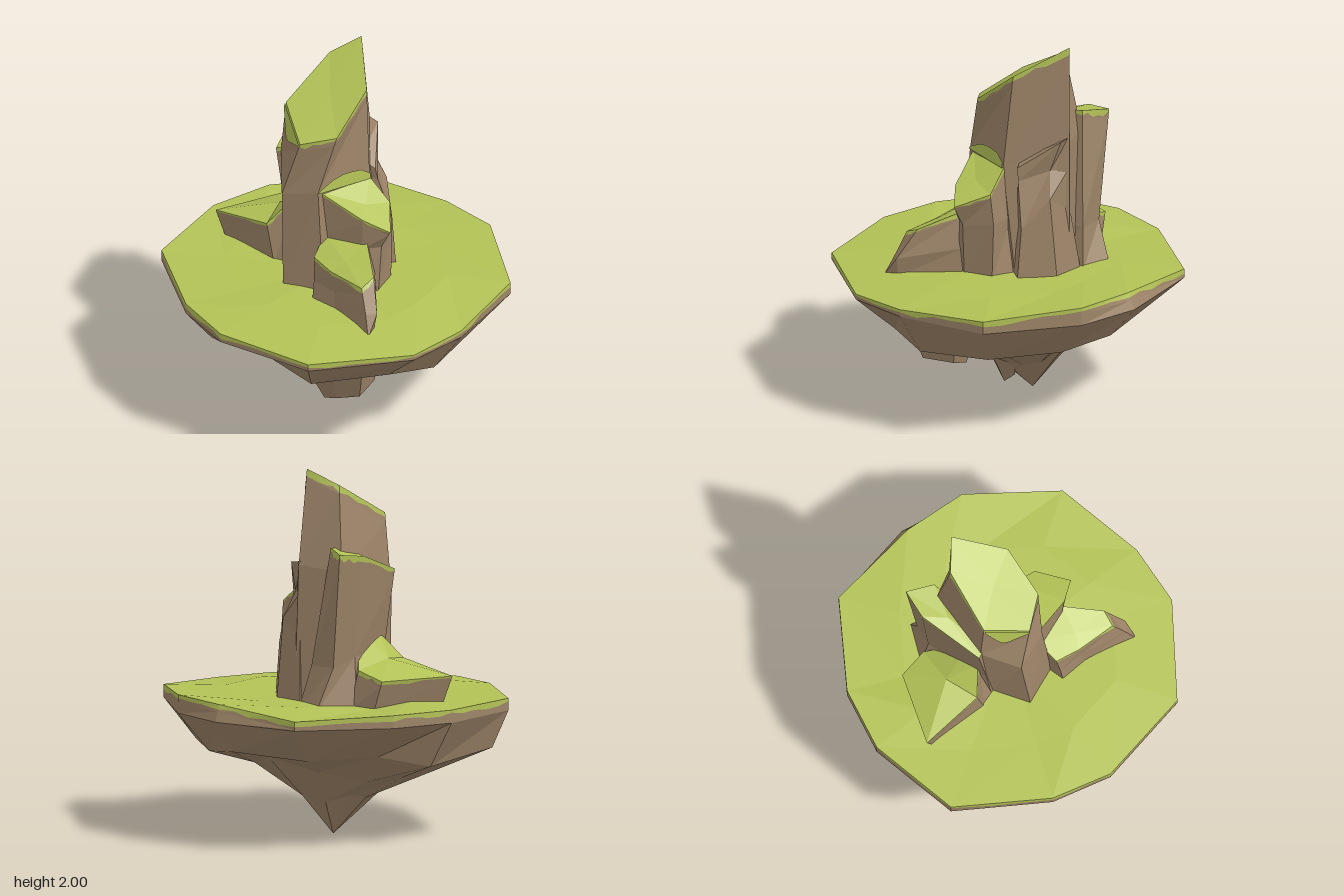
import * as THREE from 'three';

const grass = new THREE.MeshStandardMaterial({ color: 0xb3c256, flatShading: true });
grass.name = 'grass green';
const rock = new THREE.MeshStandardMaterial({ color: 0x9d8468, flatShading: true });
rock.name = 'rock brown';

// Small seeded noise for ragged turf edges and gentle relief
let seed = 7;
const rand = () => (seed = (seed * 16807) % 2147483647) / 2147483647;

const V = (p) => new THREE.Vector3(...p);
const mix = (a, b, t) => a.clone().lerp(b, t);

function area(ring) {
  return ring.reduce((s, a, i) => {
    const b = ring[(i + 1) % ring.length];
    return s + a.z * b.x - a.x * b.z;
  }, 0);
}

function centre(ring) {
  return ring.reduce((s, p) => s.add(p), new THREE.Vector3()).divideScalar(ring.length);
}

// Side wall between an upper and a lower ring
function wall(out, up, low) {
  up.forEach((a, i) => {
    const j = (i + 1) % up.length;
    out.push(a, low[i], up[j], up[j], low[i], low[j]);
  });
}

// Fan closing a ring towards a point, facing up or down
function fan(out, ring, tip, down = false) {
  ring.forEach((a, i) => {
    const b = ring[(i + 1) % ring.length];
    if (down) out.push(a, tip, b);
    else out.push(a, b, tip);
  });
}

// Points along every edge of a ring
function subdivide(ring, n) {
  return ring.flatMap((a, i) => {
    const b = ring[(i + 1) % ring.length];
    return Array.from({ length: n }, (_, k) => mix(a, b, k / n));
  });
}

function mesh(name, points, material) {
  const g = new THREE.BufferGeometry().setFromPoints(points);
  g.computeVertexNormals();
  const m = new THREE.Mesh(g, material);
  m.name = name;
  return m;
}

// A boulder lofted through rings from top to bottom, with optional turf draped over its top
function boulder(name, ringData, { turf = 0, tip = null, relief = null } = {}) {
  const rings = ringData.map((r) => r.map(V));
  if (area(rings[0]) < 0) rings.forEach((r) => r.reverse());
  const stone = [], green = [];
  const top = turf ? green : stone;

  // Top surface
  if (relief) {
    const mid = centre(rings[0]).setY(relief);
    const inner = rings[0].map((p) => mix(p, mid, 0.36).setY(relief + (rand() - 0.5) * 0.03));
    wall(top, inner, rings[0]);
    fan(top, inner, mid);
  } else fan(top, rings[0], centre(rings[0]));

  // Ragged turf edge hanging over a narrow band below the top
  if (turf) {
    const band = rings[0].map((p, i) => {
      const q = rings[1][i];
      return mix(p, q, Math.min(1.6 * turf / p.distanceTo(q), 0.95));
    });
    const a = subdivide(rings[0], 5), b = subdivide(band, 5);
    const edge = a.map((p, i) => mix(p, b[i], 0.3 + 0.6 * rand()));
    wall(green, a, edge);
    wall(stone, edge, b);
    rings[0] = band;
  }
  for (let i = 0; i < rings.length - 1; i++) wall(stone, rings[i], rings[i + 1]);
  if (tip) fan(stone, rings[rings.length - 1], V(tip), true);

  const group = new THREE.Group();
  group.name = name;
  group.add(mesh(name + 'Rock', stone, rock));
  if (turf) group.add(mesh(name + 'Grass', green, grass));
  return group;
}

// Thin moss patch growing from edge a-b towards an apex, lifted slightly off the rock
function mossPatch(name, a, b, apex, reach, lift) {
  const [A, B, C] = [a, b, apex].map((p) => V(p).add(V(lift)));
  const base = reach.map((_, i) => mix(A, B, i / (reach.length - 1)));
  const end = base.map((p, i) => mix(p, C, reach[i]));
  const out = [];
  for (let i = 0; i < reach.length - 1; i++) {
    out.push(base[i], base[i + 1], end[i], end[i], base[i + 1], end[i + 1]);
  }
  return mesh(name, out, grass);
}

export function createModel() {
  const model = new THREE.Group();
  model.name = 'floatingIsland';

  // Island: rim, band under the turf, belly, underside, root
  const rim = [
    [-0.31, 0.73, -0.9], [0.21, 0.77, -0.83], [0.54, 0.78, -0.72], [0.89, 0.75, -0.31],
    [0.87, 0.72, 0.2], [0.76, 0.71, 0.52], [0.32, 0.72, 0.89], [-0.23, 0.73, 0.86],
    [-0.53, 0.74, 0.7], [-0.9, 0.745, 0.3], [-0.87, 0.75, -0.22], [-0.71, 0.75, -0.54],
  ];
  const band = rim.map(([x, , z], i) => [x, 0.68, i === 1 ? -0.87 : z]);
  const belly = [
    [-0.25, 0.48, -0.68], [0.2, 0.5, -0.72], [0.45, 0.46, -0.55], [0.72, 0.46, -0.25],
    [0.69, 0.42, 0.17], [0.54, 0.455, 0.4], [0.25, 0.49, 0.73], [-0.18, 0.56, 0.64],
    [-0.46, 0.47, 0.55], [-0.83, 0.48, 0.25], [-0.73, 0.43, -0.21], [-0.52, 0.49, -0.4],
  ];
  const under = [
    [-0.15, 0.38, -0.42], [0.12, 0.45, -0.49], [0.25, 0.4, -0.42], [0.38, 0.35, -0.18],
    [0.36, 0.34, 0.1], [0.38, 0.44, 0.3], [0.2, 0.45, 0.48], [-0.18, 0.45, 0.44],
    [-0.3, 0.36, 0.34], [-0.5, 0.33, 0.14], [-0.47, 0.33, -0.1], [-0.35, 0.32, -0.25],
  ];
  const root = [-0.06, 0, -0.12];
  const low = under.map((p, i) => {
    const inset = i > 1 && i < 6;
    const q = mix(V(p), V(root), inset ? 0.66 : 0.52);
    return [q.x, q.y + (inset ? 0.06 : i < 2 ? 0.01 : 0.05 + 0.02 * (i % 2)), q.z];
  });
  model.add(boulder('island', [rim, band, belly, under, low], { turf: 0.026, tip: root, relief: 0.75 }));

  // Rocks hanging below the island
  model.add(boulder('hangingRock', [
    [[0.0, 0.46, 0.14], [0.36, 0.46, 0.12], [0.38, 0.46, 0.4], [0.22, 0.46, 0.48], [0.02, 0.46, 0.46]],
    [[0.11, 0.14, 0.19], [0.32, 0.22, 0.16], [0.33, 0.22, 0.34], [0.2, 0.18, 0.36], [0.11, 0.14, 0.33]],
  ], { tip: [0.2, 0.17, 0.26] }));
  model.add(boulder('hangingSpike', [
    [[-0.14, 0.27, 0.0], [0.1, 0.27, -0.08], [0.13, 0.27, 0.06], [0.02, 0.27, 0.13], [-0.1, 0.27, 0.12]],
    [[-0.04, 0.09, -0.01], [0.03, 0.09, -0.06], [0.05, 0.12, 0.03], [0.01, 0.09, 0.05], [-0.03, 0.1, 0.04]],
  ], { tip: [0.01, 0.03, 0.015] }));

  // Tall tower with a slanted grassy top
  model.add(boulder('tower', [
    [[-0.04, 2, -0.35], [0.13, 1.85, -0.1], [0.08, 1.66, 0.14], [-0.1, 1.61, 0.22], [-0.28, 1.73, 0.05], [-0.18, 1.91, -0.25]],
    [[0.0, 1.48, -0.37], [0.17, 1.33, -0.06], [0.01, 1.335, 0.22], [-0.2, 1.28, 0.24], [-0.31, 1.42, 0.05], [-0.24, 1.45, -0.32]],
    [[0.02, 0.72, -0.38], [0.2, 0.72, -0.15], [0.06, 0.72, 0.25], [-0.17, 0.72, 0.28], [-0.24, 0.72, 0.06], [-0.25, 0.72, -0.33]],
  ], { turf: 0.03 }));
  model.add(mossPatch('towerFrontMoss', [-0.1, 1.61, 0.22], [-0.28, 1.73, 0.05], [-0.26, 1.36, 0.15],
    [0.05, 0.2, 0.32, 0.36, 0.27, 0.08], [-0.004, 0, 0.008]));
  model.add(mossPatch('towerSideMoss', [0.01, 1.335, 0.22], [0.17, 1.33, -0.06], [0.13, 1.85, -0.1],
    [0.03, 0.11, 0.14, 0.14, 0.13, 0.06], [0.007, 0, 0.004]));

  // Slab leaning on the back and left side of the tower
  model.add(boulder('backSlab', [
    [[-0.365, 1.55, -0.3], [-0.31, 1.57, -0.45], [-0.19, 1.585, -0.35], [-0.2, 1.56, -0.15], [-0.27, 1.45, 0.05], [-0.335, 1.43, 0.06]],
    [[-0.31, 1.0, -0.3], [-0.25, 0.95, -0.42], [-0.1, 0.95, -0.4], [-0.1, 1, -0.15], [-0.2, 1, 0.05], [-0.27, 1, 0.06]],
    [[-0.34, 0.72, -0.33], [-0.2, 0.72, -0.51], [-0.04, 0.72, -0.43], [-0.1, 0.72, -0.1], [-0.18, 0.72, 0.06], [-0.25, 0.72, 0.08]],
  ], { turf: 0.03 }));

  // Bare buttress at the back corner, notched below its top
  model.add(boulder('backButtress', [
    [[-0.01, 1.5, -0.365], [0.06, 1.49, -0.35], [0.16, 1.34, -0.14], [0.05, 1.4, -0.12]],
    [[0.0, 1.32, -0.365], [0.07, 1.32, -0.29], [0.17, 1.27, -0.15], [0.05, 1.3, -0.12]],
    [[-0.01, 1.08, -0.37], [0.13, 1.18, -0.32], [0.23, 1.02, -0.2], [0.1, 1.0, -0.1]],
    [[-0.04, 0.72, -0.42], [0.14, 0.72, -0.37], [0.26, 0.72, -0.19], [0.1, 0.72, -0.05]],
  ]));

  // Stepped ledges around the tower
  model.add(boulder('upperLedge', [
    [[0.0, 1.335, 0.2], [0.165, 1.335, -0.065], [0.3, 1.22, -0.05], [0.395, 1.15, 0.12], [0.26, 1.22, 0.18]],
    [[0.0, 1.05, 0.2], [0.16, 1.05, -0.1], [0.3, 1.05, -0.07], [0.33, 1.03, 0.1], [0.25, 1.03, 0.17]],
    [[0.02, 0.72, 0.22], [0.18, 0.72, -0.15], [0.3, 0.72, -0.06], [0.31, 0.72, 0.1], [0.25, 0.72, 0.2]],
  ], { turf: 0.014 }));
  model.add(boulder('frontLedge', [
    [[0.03, 1.065, 0.18], [0.27, 1.07, 0.15], [0.41, 0.99, 0.33], [0.38, 0.955, 0.41], [0.16, 0.96, 0.35], [0.03, 0.985, 0.3]],
    [[0.04, 0.88, 0.18], [0.3, 0.88, 0.12], [0.48, 0.83, 0.42], [0.43, 0.83, 0.455], [0.18, 0.84, 0.35], [0.04, 0.85, 0.32]],
    [[0.04, 0.72, 0.18], [0.3, 0.72, 0.1], [0.46, 0.72, 0.42], [0.47, 0.72, 0.5], [0.2, 0.72, 0.37], [0.04, 0.72, 0.34]],
  ], { turf: 0.02 }));
  model.add(boulder('sideLedge', [
    [[-0.73, 0.89, 0.01], [-0.5, 0.885, -0.33], [-0.34, 0.93, -0.31], [-0.2, 1.11, -0.1], [-0.27, 1.09, 0.0], [-0.38, 0.95, 0.08]],
    [[-0.67, 0.72, 0.0], [-0.45, 0.72, -0.33], [-0.3, 0.72, -0.34], [-0.1, 0.72, -0.1], [-0.15, 0.72, 0.08], [-0.33, 0.72, 0.09]],
  ], { turf: 0.018 }));

  return model;
}
